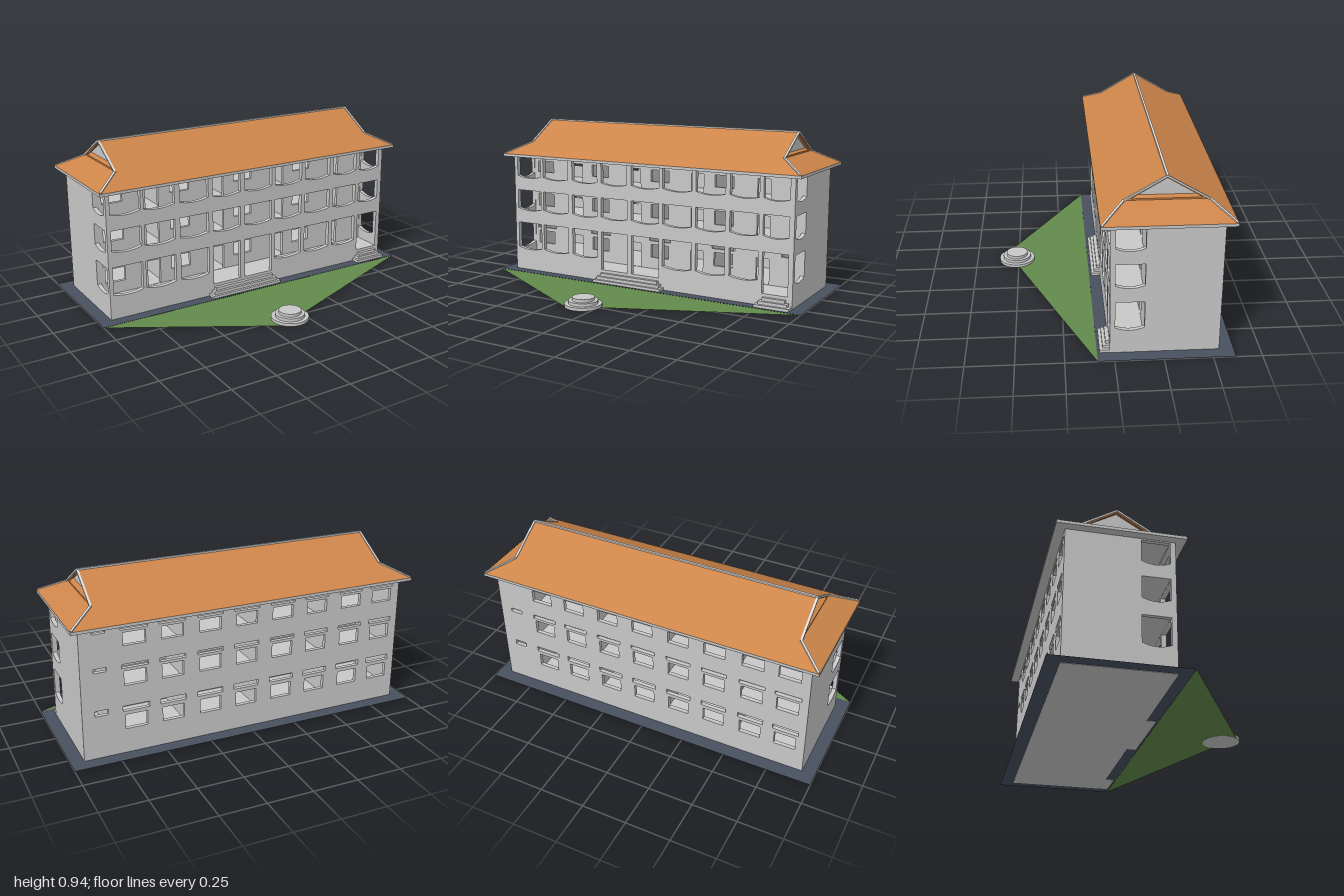
import * as THREE from 'three';

const mat = (name, color, side = THREE.FrontSide) => {
  const m = new THREE.MeshStandardMaterial({ color, side });
  m.name = name;
  return m;
};

export function createModel() {
  const wall = mat('wall grey', 0xc8c8c8);
  const tile = mat('terracotta roof', 0xcd854a, THREE.DoubleSide);
  const trim = mat('pale roof trim', 0xdcdcdc);
  const grass = mat('lawn green', 0x638a4b, THREE.DoubleSide);
  const paving = mat('slate paving', 0x48505f, THREE.DoubleSide);
  const root = new THREE.Group();
  root.name = 'balconyBuilding';

  const add = (name, geo, material) => {
    const m = new THREE.Mesh(geo, material);
    m.name = name;
    root.add(m);
    return m;
  };
  const box = (name, x0, x1, y0, y1, z0, z1, material = wall) =>
    add(name, new THREE.BoxGeometry(x1 - x0, y1 - y0, z1 - z0), material)
      .position.set((x0 + x1) / 2, (y0 + y1) / 2, (z0 + z1) / 2);

  // Opening with an optional sagging lower edge
  const opening = (x0, x1, y0, y1, sag = 0) => {
    const p = new THREE.Path();
    p.moveTo(x0, y1);
    p.lineTo(x0, y0);
    if (sag) p.quadraticCurveTo((x0 + x1) / 2, y0 - 2 * sag, x1, y0);
    else p.lineTo(x1, y0);
    p.lineTo(x1, y1);
    p.closePath();
    return p;
  };
  const panel = (x0, x1, y0, y1, holes, depth) => {
    const s = new THREE.Shape([[x0, y0], [x1, y0], [x1, y1], [x0, y1]].map(p => new THREE.Vector2(...p)));
    s.holes = holes;
    return new THREE.ExtrudeGeometry(s, { depth, bevelEnabled: false, curveSegments: 10 });
  };

  const X = 0.928, TOP = 0.724, ZF = 0.02, ZB = -0.54;
  const bays = [[-0.905, -0.729], [-0.71, -0.526], [-0.494, -0.315], [-0.286, -0.107], [-0.077, 0.107],
    [0.131, 0.318], [0.344, 0.526], [0.553, 0.726], [0.75, 0.9]];
  // Per storey: floor, balcony sill, opening top, window and high slot heights
  const storeys = [
    { floor: 0.07, sill: 0.144, top: 0.302, win: [0.139, 0.219], slot: [0.24, 0.27] },
    { floor: 0.318, sill: 0.394, top: 0.509, win: [0.384, 0.464], slot: [0.48, 0.502] },
    { floor: 0.526, sill: 0.6, top: 0.715, win: [0.603, 0.673], slot: [0.687, 0.707] },
  ];

  // Openings of the facade, gallery wall, back wall and end walls
  const front = [], gallery = [], back = [], ends = [];
  storeys.forEach((s, f) => {
    bays.forEach(([a, b], i) => {
      const c = (a + b) / 2, last = i === 8;
      const entrance = f === 0 && (i === 3 || i === 4 || last);
      front.push(entrance ? opening(a, b, s.floor, s.top) : opening(a, b, s.sill, s.top, 0.013));
      const slotHalf = last ? 0.035 : 0.072;
      const slot = () => opening(c - slotHalf, c + slotHalf, ...s.slot);
      const win = () => opening(c - 0.06, c + 0.06, ...s.win);
      back.push(slot());
      if (!last) back.push(win());
      if (i % 2) gallery.push(opening(c, c + 0.08, s.floor + 0.002, s.win[1]));
      else {
        gallery.push(slot());
        if (!last) gallery.push(win());
      }
    });
    ends.push(opening(0.007, 0.155, s.sill + (f ? -0.004 : 0.004), s.top - (f ? 0 : 0.006), 0.016));
  });
  add('facadeWall', panel(-X, X, 0, TOP, front, 0.027), wall).position.z = ZF - 0.027;
  add('galleryWall', panel(-X + 0.02, X - 0.02, 0.01, TOP, gallery, 0.02), wall).position.z = -0.178;
  add('backWall', panel(-X, X, 0, TOP, back, 0.022), wall).position.z = ZB;
  for (const [name, x] of [['rightEndWall', -X], ['leftEndWall', X - 0.023]]) {
    const g = panel(-ZF + 0.027, -ZB - 0.022, 0, TOP, ends, 0.023);
    g.rotateY(Math.PI / 2);
    add(name, g, wall).position.x = x;
  }

  // Floor slabs and room partitions
  const inner = X - 0.022;
  box('groundFloor', -inner, inner, 0, 0.07, ZB + 0.02, -0.006);
  box('firstFloor', -inner, inner, 0.303, 0.318, ZB + 0.02, -0.006);
  box('secondFloor', -inner, inner, 0.511, 0.526, ZB + 0.02, -0.006);
  for (const x of [-0.51, -0.092, 0.331, 0.738]) box('partition', x - 0.008, x + 0.008, 0.06, 0.722, ZB + 0.02, -0.17);

  // Entrance steps
  for (const [name, x0, x1] of [['mainSteps', -0.318, 0.14], ['sideSteps', 0.725, 0.926]]) {
    for (let i = 0; i < 3; i++) {
      const inset = i * 0.017;
      box(name, x0 + inset, x1 - inset, i * 0.0175, (i + 1) * 0.0175, 0.015, 0.072 - i * 0.016);
    }
  }

  // Round stepped plinth in the garden
  [0.104, 0.082, 0.062].forEach((r, i) =>
    add('roundPlinth', new THREE.CylinderGeometry(r, r, 0.0175, 32), wall)
      .position.set(-0.09, 0.00875 + i * 0.0175, 0.51));

  // Flat ground areas: a paved border and a three-cornered lawn
  const flat = (name, pts, y, material) => {
    const g = new THREE.ShapeGeometry(new THREE.Shape(pts.map(([x, z]) => new THREE.Vector2(x, -z))));
    g.rotateX(-Math.PI / 2);
    add(name, g, material).position.y = y;
  };
  flat('pavedBorder', [[-1, 0.085], [1, 0.085], [1, -0.615], [-1, -0.615]], 0.002, paving);
  flat('lawn', [[-1, 0.085], [-0.174, 0.572], [1, 0.085]], 0.001, grass);

  // Roof: eave slab, long slopes and hipped ends under small gables
  const EX = 0.975, EY = 0.738, GX = 0.835, GY = 0.809, RY = 0.933, ZC = -0.26, EZ = 0.33, GZ = 0.21;
  const WX = 0.805, WY = 0.824, WZ = 0.184;
  box('eaveSlab', -EX, EX, 0.722, EY, ZC - EZ, ZC + EZ);
  const face = (name, pts, material) => {
    const g = new THREE.BufferGeometry().setFromPoints(pts.map(p => new THREE.Vector3(...p)));
    const idx = [];
    for (let i = 1; i < pts.length - 1; i++) idx.push(0, i, i + 1);
    g.setIndex(idx);
    g.computeVertexNormals();
    return add(name, g, material);
  };
  const strip = (name, a, b) => {
    const p = new THREE.Vector3(...a), q = new THREE.Vector3(...b);
    const m = add(name, new THREE.BoxGeometry(0.012, 0.009, p.distanceTo(q)), trim);
    m.position.copy(p).add(q).multiplyScalar(0.5);
    m.lookAt(q);
  };

  for (const s of [1, -1]) {
    const z = d => ZC + s * d;
    const slope = [[-EX * s, EY, z(EZ)], [EX * s, EY, z(EZ)], [GX * s, GY, z(GZ)], [-GX * s, GY, z(GZ)]];
    face('lowerSlope', slope, tile);
    face('upperSlope', [slope[3], slope[2], [GX * s, RY, ZC], [-GX * s, RY, ZC]], tile);

    // Hipped end, gable wall and rake board on the side s
    const x = v => v * s;
    face('hipEnd', [[x(EX), EY, z(EZ)], [x(EX), EY, z(-EZ)], [x(WX), WY, z(-WZ)], [x(WX), WY, z(WZ)]], tile);
    face('gableWall', [[x(WX), WY, z(WZ)], [x(WX), WY, z(-WZ)], [x(WX), RY - 0.002, ZC]], wall);
    const rake = new THREE.Shape([[-GZ, GY], [GZ, GY], [0, RY]].map(p => new THREE.Vector2(...p)));
    rake.holes.push(new THREE.Path([[-0.175, 0.817], [0, 0.921], [0.175, 0.817]].map(p => new THREE.Vector2(...p))));
    const rg = new THREE.ExtrudeGeometry(rake, { depth: 0.01, bevelEnabled: false });
    rg.rotateY(Math.PI / 2);
    add('rakeBoard', rg, tile).position.set(s > 0 ? GX - 0.01 : -GX, 0, ZC);

    for (const t of [1, -1]) {
      strip('rakeTrim', [x(GX), GY, ZC + t * GZ], [x(GX), RY, ZC]);
      strip('hipTrim', [x(EX - 0.006), EY + 0.002, ZC + t * (EZ - 0.006)], [x(GX), GY, ZC + t * GZ]);
    }
  }
  strip('ridgeTrim', [-GX, RY, ZC], [GX, RY, ZC]);

  return root;
}
